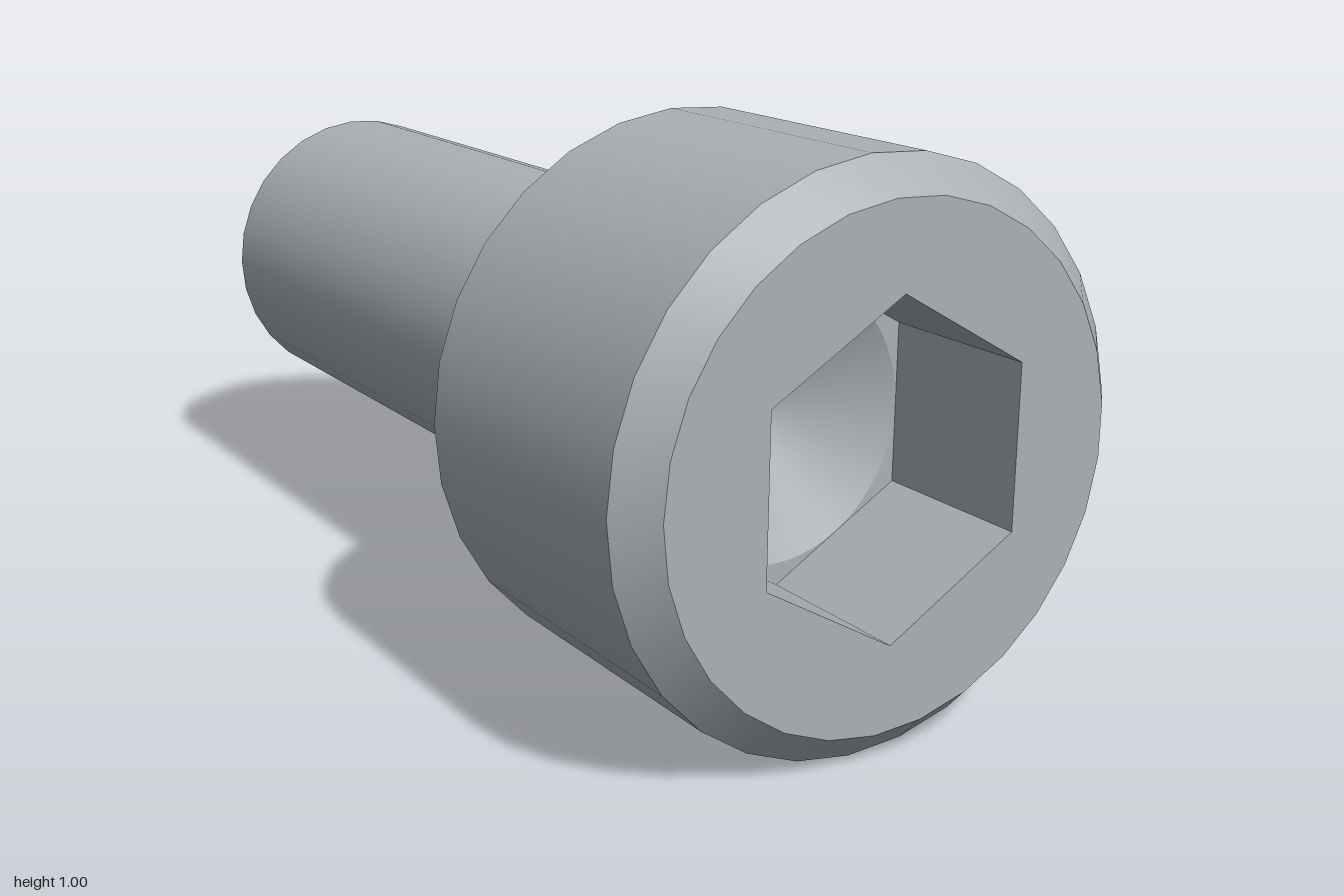
import * as THREE from 'three';
import { toCreasedNormals } from 'three/addons/utils/BufferGeometryUtils.js';

const SIDES = 29;
const HEX_RADIUS = 0.25 / Math.cos(Math.PI / 6);
const FLOOR_Z = 0.7;

// Turns a [radius, z] profile around the z axis.
function turned(profile, sides, start, crease = 0.5) {
  const points = profile.map(([r, z]) => new THREE.Vector2(r, z));
  const geometry = new THREE.LatheGeometry(points, sides, start);
  geometry.rotateX(Math.PI / 2);
  return toCreasedNormals(geometry, crease);
}

// Corner points of a regular polygon.
function polygon(radius, sides, start) {
  return Array.from({ length: sides }, (_, i) => {
    const a = start + (i / sides) * Math.PI * 2;
    return new THREE.Vector2(Math.cos(a) * radius, Math.sin(a) * radius);
  });
}

// Flat plate at height z with a hole, facing +z.
function pierced(outer, inner, z) {
  const shape = new THREE.Shape(outer);
  shape.holes.push(new THREE.Path(inner));
  return new THREE.ShapeGeometry(shape).translate(0, 0, z);
}

export function createModel() {
  const group = new THREE.Group();
  group.name = 'socketHeadScrew';
  const steel = new THREE.MeshStandardMaterial({ color: 0xaab0b4 });
  steel.name = 'steel grey';

  const add = (name, geometry) => {
    const mesh = new THREE.Mesh(geometry, steel);
    mesh.name = name;
    group.add(mesh);
  };

  // Shank with a chamfered tip
  add('shank', turned([[0, -1], [0.23, -1], [0.3, -0.93], [0.3, 0.385]], SIDES, -Math.PI / 2));

  // Small fillet where the shank meets the head
  const fillet = [];
  for (let i = 0; i <= 5; i++) {
    const a = (i / 5) * Math.PI / 2;
    fillet.push([0.315 - 0.015 * Math.cos(a), 0.385 + 0.015 * Math.sin(a)]);
  }
  add('fillet', turned(fillet, SIDES, -Math.PI / 2));

  // Head: underside, side wall and front chamfer
  add('head', turned([[0.315, 0.4], [0.5, 0.4], [0.5, 0.94], [0.44, 1]], SIDES, -Math.PI / 2));

  // Front face around the hexagonal socket
  const hexagon = polygon(HEX_RADIUS, 6, Math.PI / 2);
  add('headFace', pierced(polygon(0.44, SIDES, Math.PI), hexagon, 1));

  // Socket: six walls, corner ledges and conical bottom
  add('socketWalls', turned([[HEX_RADIUS, 1], [HEX_RADIUS, FLOOR_Z]], 6, 0));
  add('socketFloor', pierced(hexagon, polygon(0.249, 60, 0), FLOOR_Z));
  add('socketCone', turned([[0.249, FLOOR_Z], [0, FLOOR_Z - 0.144]], 60, -Math.PI / 2));

  group.position.y = 0.5;
  return group;
}
